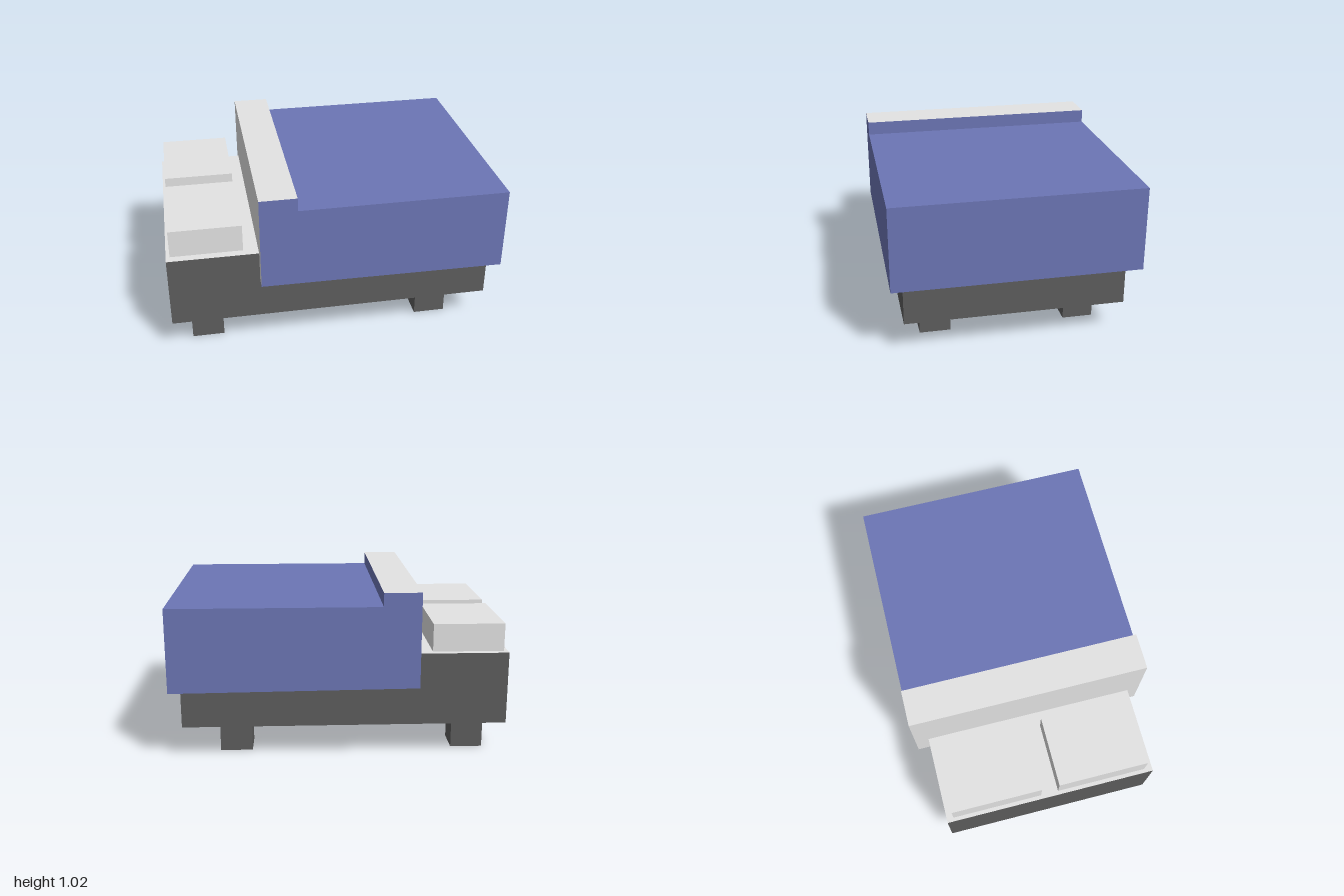
import * as THREE from 'three';

const material = (name, color) => {
  const m = new THREE.MeshStandardMaterial({ color });
  m.name = name;
  return m;
};

export function createModel() {
  const bed = new THREE.Group();
  bed.name = 'bed';
  const dark = material('darkGrey', 0x5d5d5d);
  const light = material('paleGrey', 0xe4e4e4);
  const blue = material('blanketBlue', 0x6c76b5);
  // Dark sides with pale upper and lower faces
  const darkSides = [dark, dark, light, light, dark, dark];

  // Box given by its lower and upper corners
  const box = (name, mat, [x0, y0, z0], [x1, y1, z1]) => {
    const mesh = new THREE.Mesh(new THREE.BoxGeometry(x1 - x0, y1 - y0, z1 - z0), mat);
    mesh.position.set((x0 + x1) / 2, (y0 + y1) / 2, (z0 + z1) / 2);
    mesh.name = name;
    bed.add(mesh);
  };

  // Frame
  box('frame', darkSides, [-1, 0.197, -0.643], [0.938, 0.635, 0.65]);

  // Legs
  for (const [x0, x1] of [[-0.885, -0.692], [0.53, 0.724]]) {
    box('frontLeg', darkSides, [x0, 0, 0.355], [x1, 0.197, 0.54]);
    box('backLeg', darkSides, [x0, 0, -0.525], [x1, 0.197, -0.342]);
  }

  // Pillows
  box('leftPillow', light, [-0.977, 0.635, 0.052], [-0.553, 0.802, 0.6]);
  box('rightPillow', light, [-0.977, 0.635, -0.602], [-0.553, 0.802, -0.055]);

  // Blanket: stepped profile run across the bed
  const profile = new THREE.Shape([
    [-0.465, 0.448], [1, 0.435], [1, 0.936], [-0.245, 0.936], [-0.245, 1.017], [-0.465, 1.017],
  ].map(([x, y]) => new THREE.Vector2(x, y)));
  const geometry = new THREE.ExtrudeGeometry(profile, { depth: 1.446, bevelEnabled: false });
  geometry.translate(0, 0, -0.725);

  // Pale turned-down fold, head end and underside, blue elsewhere
  const { position, normal } = geometry.attributes;
  geometry.clearGroups();
  for (let i = 0; i < position.count; i += 3) {
    const ny = normal.getY(i);
    const isFold = ny > 0.5 && position.getY(i) > 1;
    const isHeadEnd = normal.getX(i) < -0.5;
    geometry.addGroup(i, 3, isFold || isHeadEnd || ny < -0.5 ? 1 : 0);
  }
  const blanket = new THREE.Mesh(geometry, [blue, light]);
  blanket.name = 'blanket';
  bed.add(blanket);

  return bed;
}
